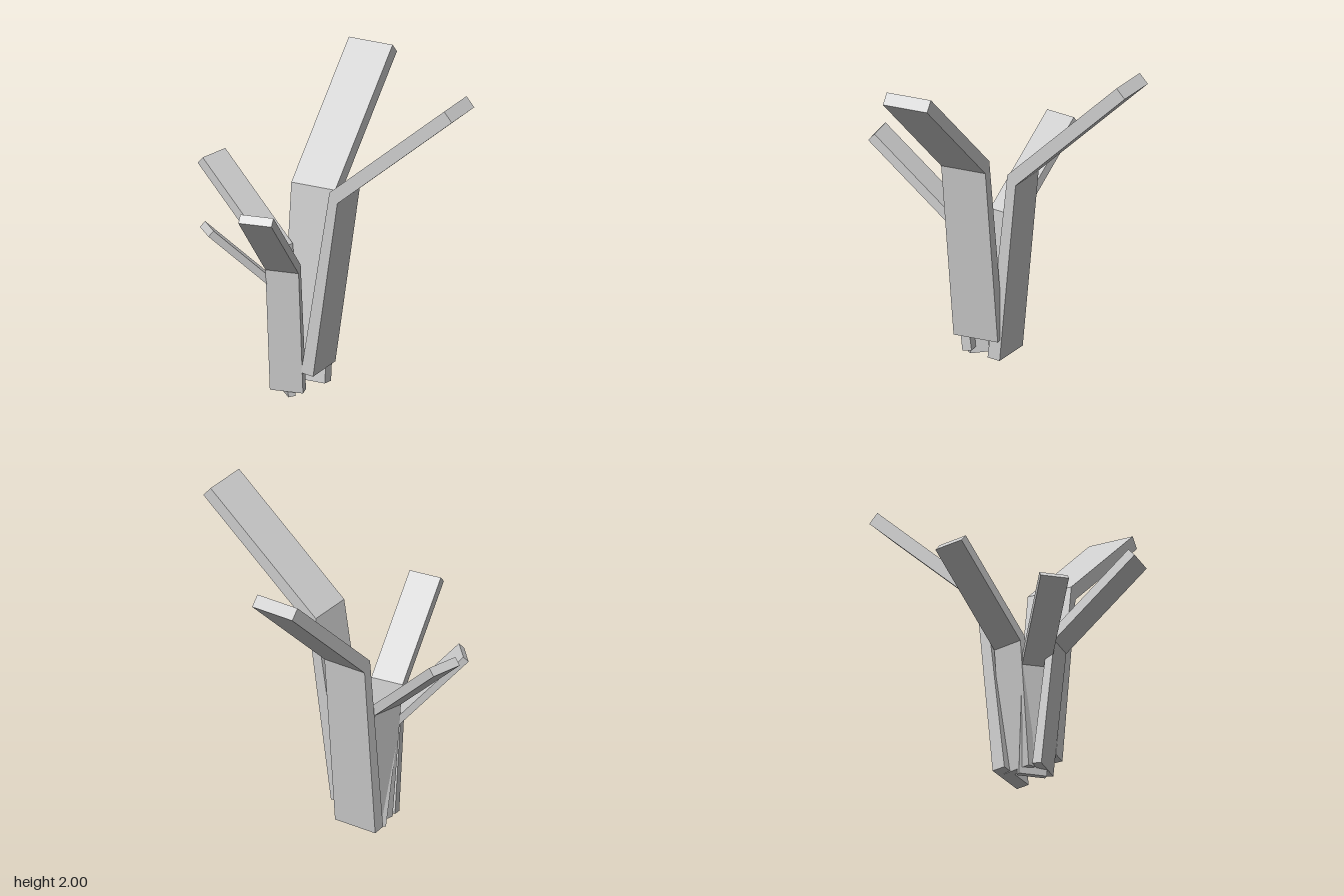
import * as THREE from 'three';

const material = new THREE.MeshStandardMaterial({ color: 0xcccccc, flatShading: true });

// x, z: centre of the inner bend; dx, dz: outward direction;
// run: how far the foot lies inward of the bend; heights of foot and bend (inner face);
// reach, rise: extent of the blade beyond the bend.
const leaves = [
  { name: 'largeLeafLeft', x: 0.085, z: 0.116, dx: 1, dz: -0.015, width: 0.295, thick: 0.081,
    run: 0.19, footY: 0.177, bendY: 1.355, reach: 0.765, rise: 0.645 },
  { name: 'largeLeafBack', x: -0.203, z: -0.08, dx: 0, dz: -1, width: 0.295, thick: 0.081,
    run: 0.133, footY: 0.045, bendY: 1.23, reach: 0.735, rise: 0.68 },
  { name: 'mediumLeafRight', x: -0.327, z: 0.09, dx: -0.977, dz: -0.215, width: 0.208, thick: 0.058,
    run: 0.093, footY: 0.045, bendY: 0.872, reach: 0.526, rise: 0.478 },
  { name: 'mediumLeafFront', x: -0.196, z: 0.305, dx: 0.161, dz: 0.987, width: 0.208, thick: 0.058,
    run: 0.1, footY: 0.045, bendY: 0.872, reach: 0.51, rise: 0.478 },
  { name: 'smallLeafFrontRight', x: -0.285, z: 0.225, dx: -0.71, dz: 0.7, width: 0.174, thick: 0.046,
    run: 0.09, footY: 0.006, bendY: 0.713, reach: 0.422, rise: 0.397 },
];

// A slab with one bend: side profile extruded across the leaf's width.
function makeLeaf({ name, x, z, dx, dz, width, thick, run, footY, bendY, reach, rise }) {
  const foot = new THREE.Vector2(-run, footY);
  const bend = new THREE.Vector2(0, bendY);
  const tip = new THREE.Vector2(reach, bendY + rise);
  const outward = (from, to) => {
    const d = to.clone().sub(from).normalize();
    return new THREE.Vector2(d.y, -d.x).multiplyScalar(thick);
  };
  const stemOffset = outward(foot, bend);
  const bladeOffset = outward(bend, tip);
  const profile = new THREE.Shape([
    foot, foot.clone().add(stemOffset),
    bend.clone().add(bladeOffset), tip.clone().add(bladeOffset),
    tip, bend,
  ]);
  const geometry = new THREE.ExtrudeGeometry(profile, { depth: width, bevelEnabled: false });
  geometry.translate(0, 0, -width / 2);
  const leaf = new THREE.Mesh(geometry, material);
  leaf.name = name;
  leaf.position.set(x, 0, z);
  leaf.rotation.y = Math.atan2(-dz, dx);
  return leaf;
}

export function createModel() {
  const plant = new THREE.Group();
  plant.name = 'leafCluster';
  for (const leaf of leaves) plant.add(makeLeaf(leaf));
  return plant;
}
